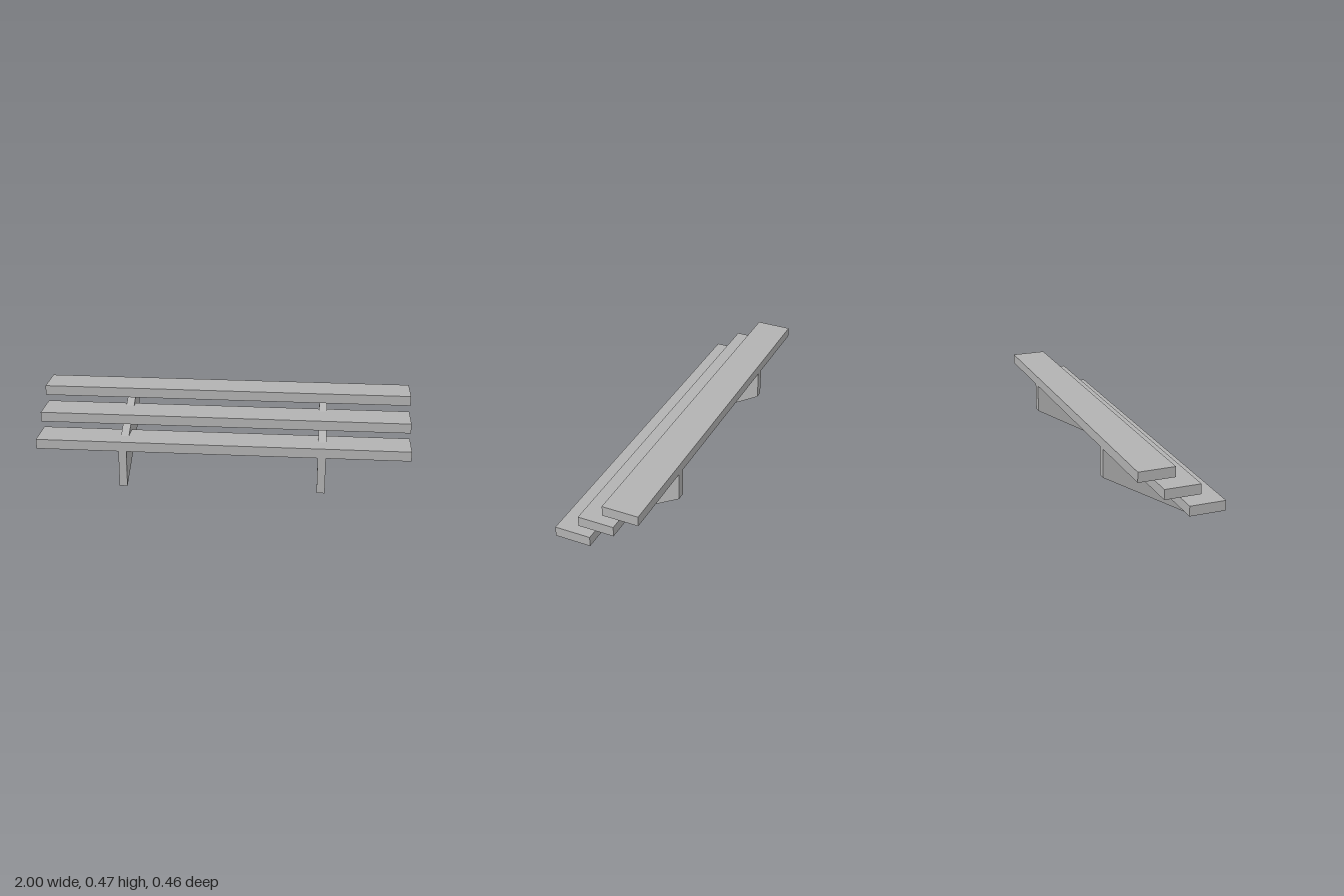
import * as THREE from 'three';

export function createModel() {
  const group = new THREE.Group();
  const grey = new THREE.MeshStandardMaterial({ color: 0xb2b2b2 });
  grey.name = 'plain grey';

  // Three long treads, rising towards the back
  const treadGeometry = new THREE.BoxGeometry(2, 0.053, 0.19);
  const treads = [
    ['lowerTread', 0.228, 0.133],
    ['middleTread', 0.334, 0.001],
    ['upperTread', 0.441, -0.133],
  ];
  for (const [name, y, z] of treads) {
    const tread = new THREE.Mesh(treadGeometry, grey);
    tread.name = name;
    tread.position.set(0, y, z);
    group.add(tread);
  }

  // Slanted stringers, drawn as a side profile of (z, y)
  const width = 0.043;
  const profile = new THREE.Shape([
    [0.228, 0], [0.228, 0.202], [-0.147, 0.415], [-0.228, 0.415], [-0.228, 0.262],
  ].map(([z, y]) => new THREE.Vector2(z, y)));
  const stringerGeometry = new THREE.ExtrudeGeometry(profile, { depth: width, bevelEnabled: false });
  stringerGeometry.translate(0, 0, -width / 2).rotateY(-Math.PI / 2);
  for (const side of [-1, 1]) {
    const stringer = new THREE.Mesh(stringerGeometry, grey);
    stringer.name = side > 0 ? 'leftStringer' : 'rightStringer';
    stringer.position.x = side * 0.532;
    group.add(stringer);
  }

  return group;
}
